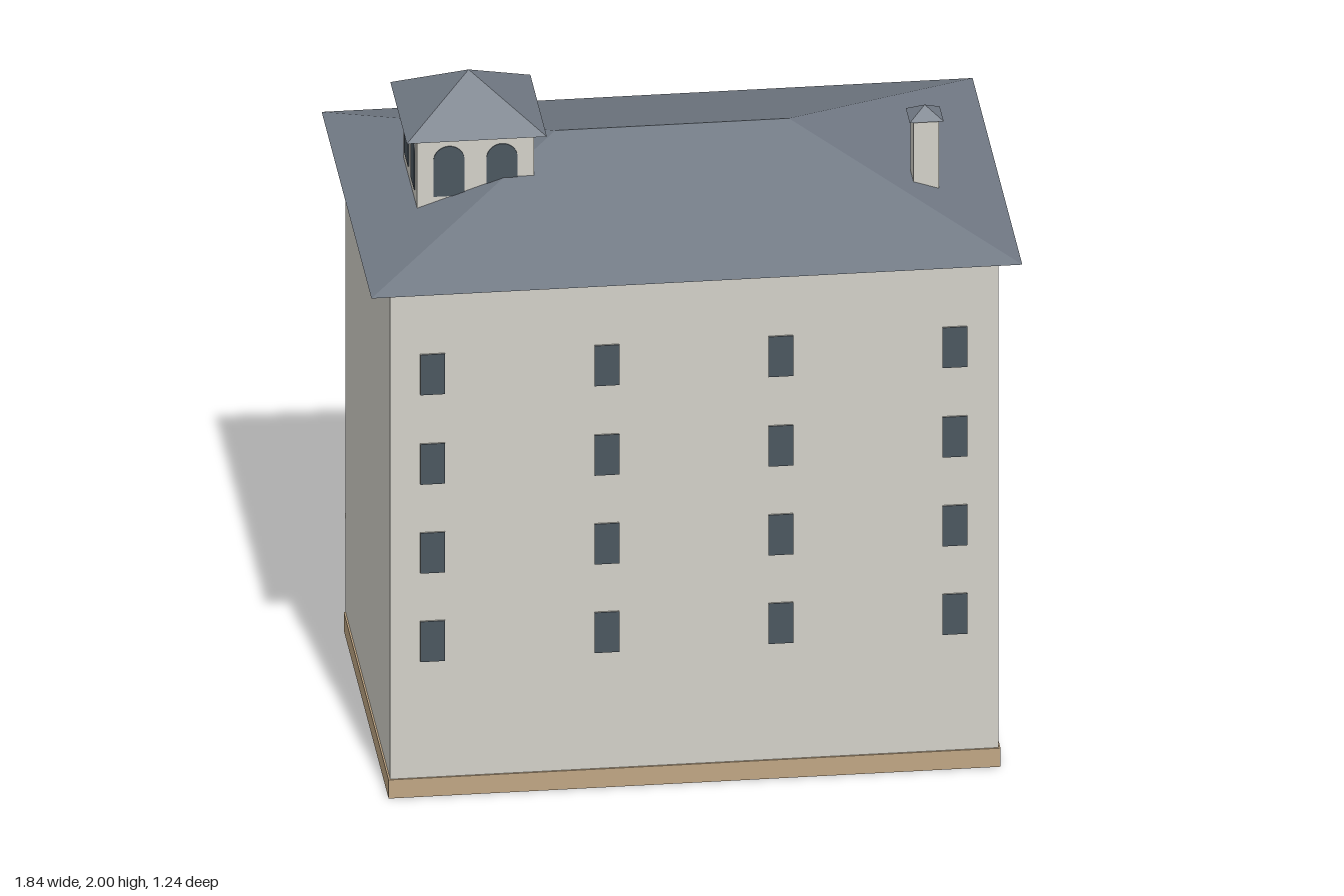
import * as THREE from 'three';

const mat = (name, color) => Object.assign(new THREE.MeshStandardMaterial(), { name, color: new THREE.Color(color) });

export function createModel() {
  const model = new THREE.Group();
  model.name = 'building';
  const wall = mat('wall plaster', 0xd2d0c8);
  const slate = mat('roof slate', 0x727a85);
  const glass = mat('window glass', 0x4b565f);
  const stone = mat('plinth stone', 0xbfa583);
  const trim = mat('trim', 0xc6c3ba);
  const dark = mat('archway', 0x544a40);
  const iron = mat('iron', 0x33393e);
  const doorPaint = mat('door paint', 0x6b7885);
  const red = mat('awning cloth', 0xc9605c);
  red.side = THREE.DoubleSide;

  const add = (name, geo, material, x = 0, y = 0, z = 0, parent = model) => {
    const mesh = new THREE.Mesh(geo, material);
    mesh.name = name;
    mesh.position.set(x, y, z);
    parent.add(mesh);
    return mesh;
  };
  const box = (name, m, w, h, d, x, y, z, parent) =>
    add(name, new THREE.BoxGeometry(w, h, d), m, x, y, z, parent);

  // Hipped roof on a rectangle of half sizes a, b, with ridge half length r
  const hip = (a, b, h, r) => {
    const A = [-a, 0, b], B = [a, 0, b], C = [a, 0, -b], D = [-a, 0, -b];
    const L = [-r, h, 0], R = [r, h, 0];
    const tris = [A, B, R, C, D, L, B, C, R, D, A, L, A, D, C, A, C, B];
    if (r > 0) tris.push(A, R, L, C, L, R);
    const geo = new THREE.BufferGeometry();
    geo.setAttribute('position', new THREE.Float32BufferAttribute(tris.flat(), 3));
    geo.computeVertexNormals();
    return geo;
  };

  // Plate with a semicircular head, standing on y = 0
  const archPlate = (radius, height, depth) => {
    const s = new THREE.Shape();
    s.moveTo(-radius, 0);
    s.lineTo(radius, 0);
    s.lineTo(radius, height - radius);
    s.absarc(0, height - radius, radius, 0, Math.PI, false);
    s.closePath();
    return new THREE.ExtrudeGeometry(s, { depth, bevelEnabled: false, curveSegments: 20 });
  };

  // Main volume, plinth and roof
  box('walls', wall, 1.72, 1.55, 1.066, 0, 0.82, 0.022);
  box('plinth', stone, 1.73, 0.058, 1.076, 0, 0.029, 0.022);
  add('mainRoof', hip(0.92, 0.597, 0.2, 0.33), slate, 0, 1.595, 0.018);

  // Belvedere with paired arched openings on every side
  const tower = new THREE.Group();
  tower.name = 'belvedere';
  tower.position.set(-0.575, 0, 0.018);
  model.add(tower);
  box('belvedereWalls', wall, 0.33, 0.275, 0.33, 0, 1.738, 0, tower);
  add('belvedereRoof', hip(0.198, 0.198, 0.125, 0), slate, 0, 1.875, 0, tower);
  const towerArch = archPlate(0.044, 0.155, 0.004);
  for (let i = 0; i < 4; i++) {
    const side = new THREE.Group();
    side.name = 'belvedereSide';
    side.rotation.y = i * Math.PI / 2;
    tower.add(side);
    for (const x of [-0.075, 0.075]) add('archedOpening', towerArch, glass, x, 1.69, 0.164, side);
  }

  // Chimney
  box('chimney', wall, 0.072, 0.23, 0.072, 0.693, 1.76, 0.2);
  add('chimneyCap', hip(0.048, 0.048, 0.032, 0), slate, 0.693, 1.874, 0.2);

  // Windows: four columns in front, seven behind with frames
  const rows = [0.485, 0.762, 1.04, 1.32];
  for (const y of rows) {
    for (const x of [-0.74, -0.248, 0.244, 0.736]) {
      box('frontWindowSurround', trim, 0.07, 0.126, 0.006, x, y, 0.556);
      box('frontWindow', glass, 0.07, 0.126, 0.002, x, y, 0.56);
    }
    for (let i = -3; i <= 3; i++) {
      const x = i * 0.245;
      box('backWindowFrame', trim, 0.09, 0.146, 0.008, x, y, -0.513);
      box('backWindow', glass, 0.068, 0.124, 0.003, x, y, -0.518);
      box('backWindowSill', trim, 0.1, 0.01, 0.012, x, y - 0.073, -0.515);
    }
  }

  // Small balconies below the lowest back windows
  for (let i = -3; i <= 3; i++) {
    const balcony = new THREE.Group();
    balcony.name = 'balcony';
    balcony.position.set(i * 0.245, 0, -0.538);
    model.add(balcony);
    box('balconySlab', trim, 0.12, 0.012, 0.03, 0, 0.402, 0.014, balcony);
    for (const y of [0.417, 0.478]) box('rail', iron, 0.116, 0.007, 0.005, 0, y, 0, balcony);
    for (let k = -3; k <= 3; k++) box('baluster', iron, 0.006, 0.07, 0.005, k * 0.018, 0.444, 0, balcony);
  }

  // Eave brackets and mouldings on the back
  for (let i = 0; i < 20; i++) box('eaveBracket', glass, 0.044, 0.082, 0.046, -0.836 + i * 0.088, 1.552, -0.533);
  box('eaveMoulding', trim, 1.72, 0.014, 0.012, 0, 1.502, -0.515);
  box('stringCourse', trim, 1.72, 0.016, 0.016, 0, 0.355, -0.517);
  for (const x of [-0.286, 0.286]) box('pilasterStrip', trim, 0.012, 0.29, 0.006, x, 0.203, -0.512);

  // Ground floor arches and doors
  const bigArch = archPlate(0.222, 0.268, 0.005);
  for (const x of [-0.573, 0, 0.573]) {
    add('archway', bigArch, dark, x, 0.058, -0.515);
    box('door', doorPaint, 0.104, 0.19, 0.004, x, 0.15, -0.517);
  }

  // Sloping awning over the middle arch
  const awning = box('awning', red, 0.41, 0.004, 0.112, 0, 0.243, -0.57);
  awning.rotation.x = -Math.atan2(0.048, 0.1);

  return model;
}
